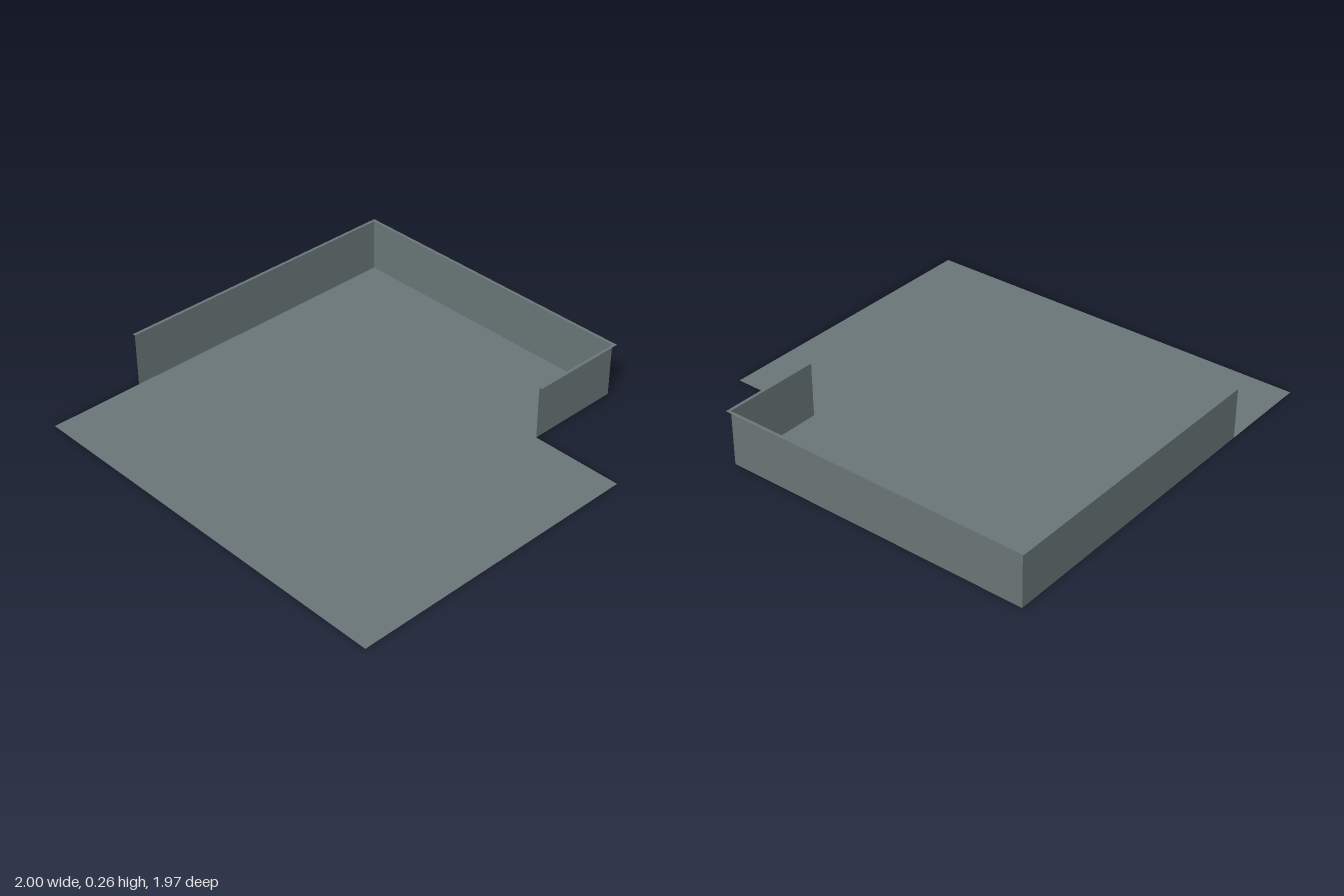
import * as THREE from 'three';

// Plan coordinates
const L = -0.983, R = 0.541, BACK = -0.971, FRONT = 0.98;
const WALL_END = 0.512, NOTCH = -0.49, HEIGHT = 0.265, LIP = 0.015;

// Flat horizontal sheet from [x, z] corners
function sheet(name, corners, y, material) {
  const shape = new THREE.Shape(corners.map(([x, z]) => new THREE.Vector2(x, -z)));
  const mesh = new THREE.Mesh(new THREE.ShapeGeometry(shape).rotateX(-Math.PI / 2), material);
  mesh.name = name;
  mesh.position.y = y;
  return mesh;
}

// Upright sheet between two [x, z] points
function wall(name, [x1, z1], [x2, z2], material) {
  const mesh = new THREE.Mesh(new THREE.PlaneGeometry(Math.hypot(x2 - x1, z2 - z1), HEIGHT), material);
  mesh.name = name;
  mesh.position.set((x1 + x2) / 2, HEIGHT / 2, (z1 + z2) / 2);
  mesh.rotation.y = -Math.atan2(z2 - z1, x2 - x1);
  return mesh;
}

export function createModel() {
  const group = new THREE.Group();
  group.name = 'walledPlatform';
  const grey = new THREE.MeshStandardMaterial({ color: 0x6a7778, side: THREE.DoubleSide });
  grey.name = 'slateGrey';

  // Floor with a notch in the back left corner
  group.add(sheet('floor',
    [[L, FRONT], [1, FRONT], [1, NOTCH], [R, NOTCH], [R, BACK], [L, BACK]], 0, grey));

  // Three low walls
  const path = [[L, WALL_END], [L, BACK], [R, BACK], [R, NOTCH]];
  ['rightWall', 'backWall', 'leftWall'].forEach((name, i) =>
    group.add(wall(name, path[i], path[i + 1], grey)));

  // Narrow lip folded outward along the wall tops
  const outer = [[R + LIP, NOTCH], [R + LIP, BACK - LIP], [L - LIP, BACK - LIP], [L - LIP, WALL_END]];
  group.add(sheet('wallLip', [...path, ...outer], HEIGHT, grey));

  return group;
}
